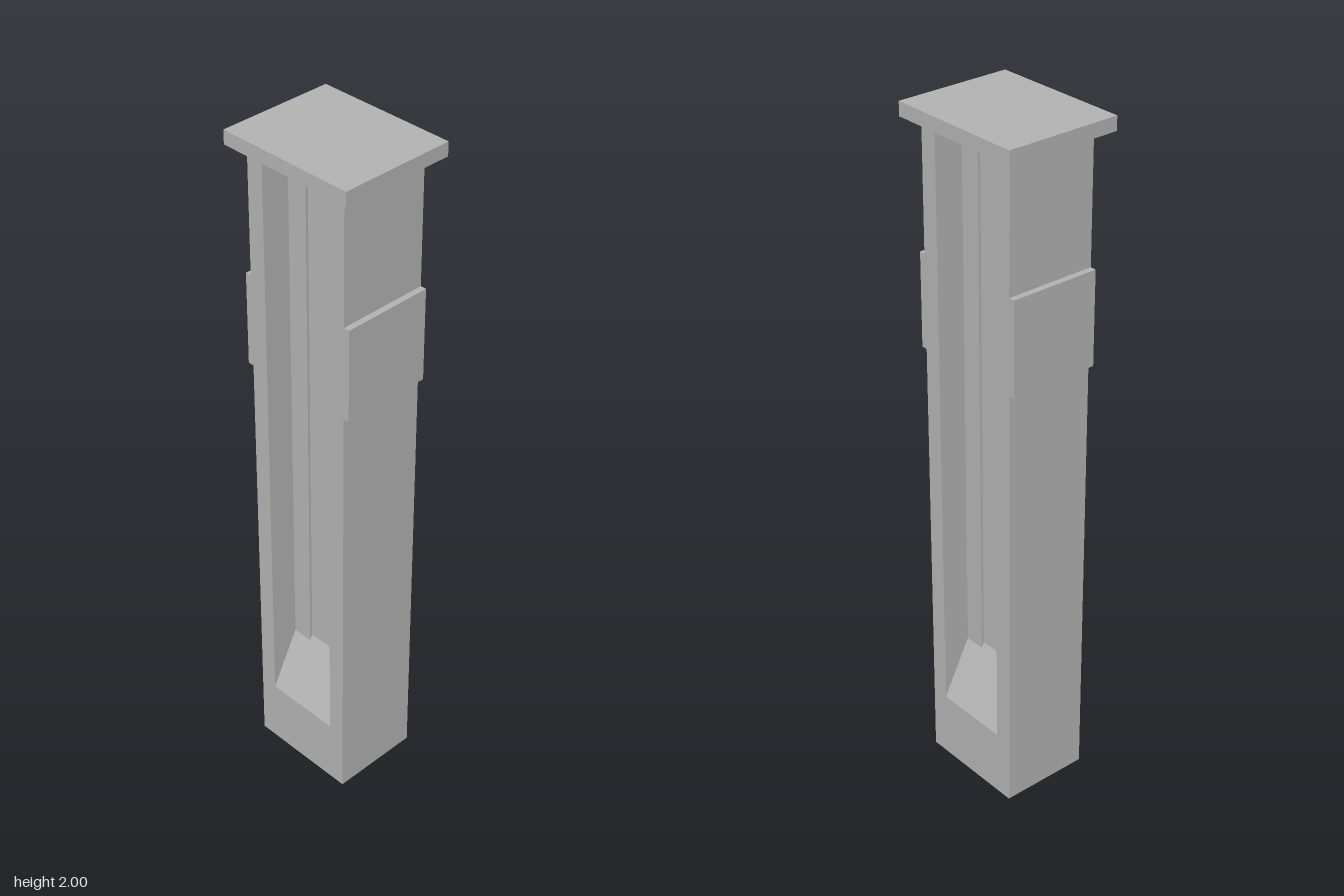
import * as THREE from 'three';

export function createModel() {
  const group = new THREE.Group();
  const stone = new THREE.MeshStandardMaterial({ color: 0xb3b3b3 });
  stone.name = 'stone grey';

  const W = 0.135, D = 0.167;          // half width and depth of the shaft
  const RX = 0.05, RZ = 0.115;         // side recess: back wall x, half width
  const GX = 0.042, GZ = 0.053;        // shallow groove in the back wall
  const TOP = 1.96;

  const add = (name, geometry, x = 0, y = 0, z = 0) => {
    const mesh = new THREE.Mesh(geometry, stone);
    mesh.name = name;
    mesh.position.set(x, y, z);
    group.add(mesh);
    return mesh;
  };
  const extrude = (points, depth) => new THREE.ExtrudeGeometry(
    new THREE.Shape(points.map(([x, y]) => new THREE.Vector2(x, y))),
    { depth, bevelEnabled: false });

  // Shaft with a stepped recess down both sides
  const side = [[W, -D], [W, -RZ], [RX, -RZ], [RX, -GZ], [GX, -GZ],
    [GX, GZ], [RX, GZ], [RX, RZ], [W, RZ], [W, D]];
  const outline = [...side, ...side.map(([x, z]) => [-x, -z])];
  add('shaft', extrude(outline, TOP).rotateX(-Math.PI / 2));

  // Sloping sills closing the foot of each recess
  const sill = extrude([[RX, 0], [W, 0], [W, 0.2], [RX, 0.37]], 2 * RZ).translate(0, 0, -RZ);
  const grooveSill = extrude([[GX, 0], [RX, 0], [RX, 0.37], [GX, 0.386]], 2 * GZ).translate(0, 0, -GZ);
  for (const turn of [0, Math.PI]) {
    add('sill', sill).rotation.y = turn;
    add('grooveSill', grooveSill).rotation.y = turn;
  }

  // Raised panels on front and back
  for (const s of [1, -1]) {
    add('panel', new THREE.BoxGeometry(2 * W, 0.275, 0.018), 0, 1.455, s * (D + 0.009));
  }

  // Overhanging cap
  add('cap', new THREE.BoxGeometry(0.342, 0.04, 0.418), 0, 1.98, 0);
  return group;
}
